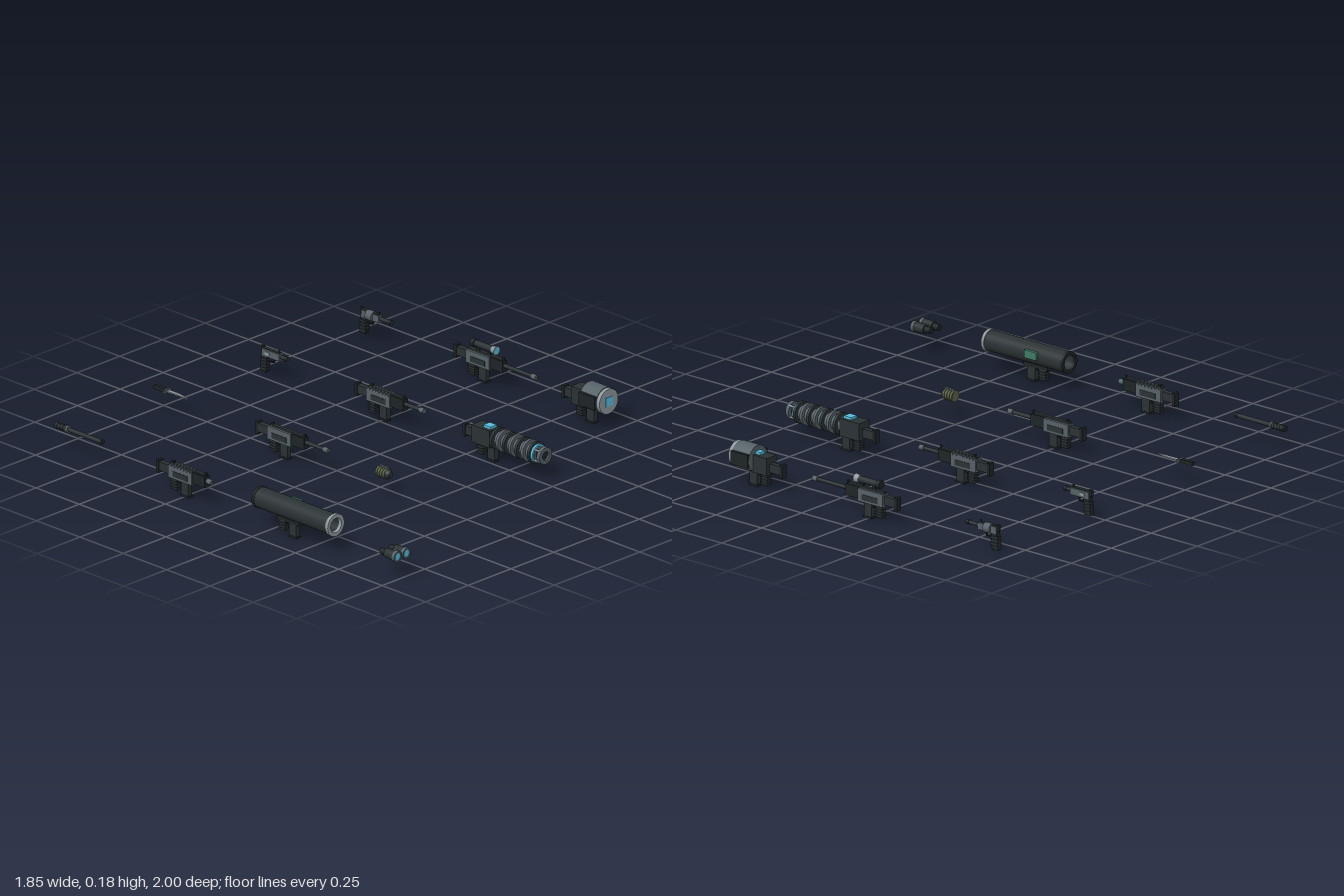
import * as THREE from 'three';

const mat = (color) => new THREE.MeshStandardMaterial({ color, side: THREE.DoubleSide });
const DARK = mat(0x2b3234), BLACK = mat(0x1e2426), STEEL = mat(0x566168),
  LIGHT = mat(0x8d989d), CYAN = mat(0x55bfe0), OLIVE = mat(0x5c6448), GREEN = mat(0x3f7a66);

function add(group, name, geometry, material) {
  const mesh = new THREE.Mesh(geometry, material);
  mesh.name = name;
  group.add(mesh);
  return mesh;
}
// Box given by centre x, width, and y / z ranges
function box(g, name, m, x, w, y0, y1, z0, z1) {
  const b = add(g, name, new THREE.BoxGeometry(w, y1 - y0, z1 - z0), m);
  b.position.set(x, (y0 + y1) / 2, (z0 + z1) / 2);
  return b;
}
// Cylinder lying along z, r0 at the back and r1 at the front
function rod(g, name, m, x, y, z0, z1, r0, r1 = r0, open = false, sides = 20) {
  const geo = new THREE.CylinderGeometry(r1, r0, z1 - z0, sides, 1, open).rotateX(Math.PI / 2);
  const c = add(g, name, geo, m);
  c.position.set(x, y, (z0 + z1) / 2);
  return c;
}
// Hollow sleeve along z
function sleeve(g, name, m, x, y, z0, z1, ro, ri) {
  const pts = [[ri, z0], [ro, z0], [ro, z1], [ri, z1], [ri, z0]].map(([r, z]) => new THREE.Vector2(r, z));
  const flat = new THREE.LatheGeometry(pts, 28).rotateX(Math.PI / 2).toNonIndexed();
  flat.computeVertexNormals();
  add(g, name, flat, m).position.set(x, y, 0);
}
function place(root, name, x, z) {
  const g = new THREE.Group();
  g.name = name;
  g.position.set(x, 0, z);
  root.add(g);
  return g;
}

// Ribbed rear grip and magazine
function gripAndMagazine(g) {
  box(g, 'grip', BLACK, 0, 0.022, 0.015, 0.07, 0.083, 0.115);
  for (let i = 0; i < 4; i++) box(g, 'gripRib', DARK, 0, 0.026, 0.02 + i * 0.012, 0.026 + i * 0.012, 0.081, 0.118);
  box(g, 'magazine', DARK, 0, 0.022, 0, 0.07, 0.14, 0.182);
  box(g, 'magazineBase', BLACK, 0, 0.026, 0, 0.008, 0.137, 0.185);
  box(g, 'triggerGuard', BLACK, 0, 0.008, 0.05, 0.054, 0.115, 0.14);
}
// Stock with butt plate
function stock(g) {
  box(g, 'stock', DARK, 0, 0.024, 0.077, 0.115, 0.008, 0.078);
  box(g, 'buttPlate', BLACK, 0, 0.028, 0.065, 0.122, 0, 0.014);
}
function rifle(root, name, x, { tip, scope = false, ribs = 0, guardWidth = 0.028 }) {
  const g = place(root, name, x, -0.408);
  stock(g);
  gripAndMagazine(g);
  box(g, 'receiver', STEEL, 0, 0.038, 0.066, 0.122, 0.072, 0.208);
  box(g, 'receiverPanel', DARK, 0, 0.042, 0.076, 0.1, 0.1, 0.185);
  box(g, 'topRail', DARK, 0, 0.016, 0.122, 0.13, 0.075, 0.27);
  for (let i = 0; i < ribs; i++) {
    const z = 0.085 + i * 0.018;
    box(g, 'railRib', STEEL, 0, 0.044, 0.118, 0.129, z, z + 0.008);
  }
  box(g, 'handguard', BLACK, 0, guardWidth, 0.074, 0.124, 0.205, 0.28);
  rod(g, 'barrel', DARK, 0, 0.103, 0.27, tip, 0.009, 0.008);
  rod(g, 'muzzle', STEEL, 0, 0.103, tip - 0.025, tip, 0.0115);
  box(g, 'frontSight', BLACK, 0, 0.006, 0.122, 0.138, 0.27, 0.279);
  if (scope) {
    for (const z of [0.125, 0.19]) box(g, 'scopeMount', BLACK, 0, 0.014, 0.126, 0.15, z, z + 0.014);
    rod(g, 'scopeTube', DARK, 0, 0.156, 0.1, 0.22, 0.014);
    rod(g, 'scopeBell', LIGHT, 0, 0.156, 0.212, 0.235, 0.015, 0.019);
    rod(g, 'scopeEyepiece', BLACK, 0, 0.156, 0.095, 0.115, 0.018);
    rod(g, 'scopeLens', CYAN, 0, 0.156, 0.234, 0.236, 0.015);
  } else {
    box(g, 'rearSight', BLACK, 0, 0.014, 0.128, 0.138, 0.085, 0.094);
  }
  return g;
}

// Sidearm with curved-back grip; the heavy one gets a revolving cylinder
function pistol(root, x, tip, heavy) {
  const g = place(root, heavy ? 'revolver' : 'pistol', x, 0);
  box(g, 'slide', STEEL, 0, heavy ? 0.022 : 0.026, 0.088, 0.118, -0.945, -0.845);
  box(g, 'slideTop', DARK, 0, 0.014, 0.116, 0.122, -0.945, -0.85);
  box(g, 'hammer', BLACK, 0, 0.012, 0.1, 0.128, -0.956, -0.942);
  const grip = box(g, 'grip', BLACK, 0, 0.022, 0.017, 0.095, -0.952, -0.92);
  grip.rotation.x = 0.1;
  for (let i = 0; i < 4; i++) box(g, 'gripRib', DARK, 0, 0.026, 0.028 + i * 0.014, 0.034 + i * 0.014, -0.954, -0.918);
  box(g, 'triggerGuard', BLACK, 0, 0.008, 0.066, 0.07, -0.92, -0.885);
  box(g, 'triggerGuardFront', BLACK, 0, 0.008, 0.066, 0.09, -0.889, -0.885);
  rod(g, 'barrel', DARK, 0, 0.104, -0.85, tip, 0.008);
  rod(g, 'muzzle', BLACK, 0, 0.104, tip - 0.015, tip, 0.0105);
  box(g, 'frontSight', BLACK, 0, 0.005, 0.118, 0.131, -0.858, -0.85);
  if (heavy) rod(g, 'cylinder', STEEL, 0, 0.103, -0.915, -0.88, 0.022, 0.022, false, 12);
  else box(g, 'sidePanel', LIGHT, 0, 0.033, 0.097, 0.11, -0.925, -0.9);
}

function baton(root, x) {
  const g = place(root, 'baton', x, 0);
  rod(g, 'handle', BLACK, 0, 0.1, -1, -0.925, 0.0125);
  for (let i = 0; i < 4; i++) rod(g, 'handleRing', DARK, 0, 0.1, -0.99 + i * 0.016, -0.983 + i * 0.016, 0.014);
  rod(g, 'collar', STEEL, 0, 0.1, -0.932, -0.922, 0.016);
  rod(g, 'shaft', DARK, 0, 0.1, -0.925, -0.74, 0.0095);
  rod(g, 'tip', BLACK, 0, 0.1, -0.742, -0.73, 0.011);
}

function knife(root, x) {
  const g = place(root, 'knife', x, 0);
  box(g, 'handle', BLACK, 0, 0.016, 0.092, 0.108, -1, -0.932);
  box(g, 'guard', STEEL, 0, 0.04, 0.092, 0.108, -0.935, -0.926);
  const s = new THREE.Shape();
  s.moveTo(-0.009, 0.928);
  s.lineTo(0.01, 0.928);
  s.lineTo(0.01, 0.875);
  s.quadraticCurveTo(0.008, 0.83, -0.006, 0.805);
  s.lineTo(-0.009, 0.928);
  const blade = new THREE.ExtrudeGeometry(s, { depth: 0.005, bevelEnabled: false });
  add(g, 'blade', blade.rotateX(-Math.PI / 2), LIGHT).position.y = 0.098;
}

// Shoulder launcher: open tube with a side sight
function launcher(root, x) {
  const g = place(root, 'launcher', x, 0.215);
  gripAndMagazine(g);
  sleeve(g, 'tube', DARK, 0, 0.121, -0.04, 0.388, 0.045, 0.034);
  sleeve(g, 'frontRing', LIGHT, 0, 0.121, 0.386, 0.401, 0.049, 0.032);
  sleeve(g, 'rearRing', BLACK, 0, 0.121, -0.041, -0.028, 0.047, 0.033);
  box(g, 'underRail', BLACK, 0, 0.026, 0.06, 0.08, 0.07, 0.2);
  box(g, 'sideSight', GREEN, 0.048, 0.014, 0.112, 0.146, 0.096, 0.16);
}

function grenade(root, x) {
  const g = place(root, 'grenade', x, 0);
  rod(g, 'core', OLIVE, 0, 0.1, 0.292, 0.345, 0.021);
  for (let i = 0; i < 4; i++) rod(g, 'rib', OLIVE, 0, 0.1, 0.293 + i * 0.014, 0.302 + i * 0.014, 0.0245);
  rod(g, 'nose', DARK, 0, 0.1, 0.345, 0.36, 0.022, 0.013);
  box(g, 'lever', STEEL, 0, 0.01, 0.122, 0.129, 0.295, 0.35);
}

// Heavy gun with a finned coil barrel
function coilGun(root, x) {
  const g = place(root, 'coilGun', x, 0.215);
  stock(g);
  gripAndMagazine(g);
  box(g, 'receiver', DARK, 0, 0.066, 0.066, 0.142, 0.07, 0.175);
  box(g, 'powerCell', CYAN, 0, 0.038, 0.135, 0.153, 0.125, 0.165);
  rod(g, 'barrelCore', STEEL, 0, 0.107, 0.17, 0.43, 0.033);
  for (let i = 0; i < 7; i++) {
    const z = 0.188 + i * 0.036;
    rod(g, 'coolingFin', i % 2 ? STEEL : DARK, 0, 0.107, z, z + 0.013, 0.048, 0.048, false, 28);
  }
  rod(g, 'glowRing', CYAN, 0, 0.107, 0.417, 0.428, 0.04, 0.04, false, 28);
  for (let i = 0; i < 4; i++) {
    const a = Math.PI / 4 + i * Math.PI / 2;
    rod(g, 'muzzleStrut', LIGHT, 0.034 * Math.cos(a), 0.107 + 0.034 * Math.sin(a), 0.42, 0.458, 0.005, 0.005, false, 8);
  }
  sleeve(g, 'muzzleRing', STEEL, 0, 0.107, 0.45, 0.467, 0.037, 0.019);
  rod(g, 'bore', BLACK, 0, 0.107, 0.42, 0.458, 0.02);
}

// Wide-mouthed emitter with a drum head
function drumGun(root, x) {
  const g = place(root, 'drumGun', x, 0.215);
  stock(g);
  gripAndMagazine(g);
  box(g, 'receiver', DARK, 0, 0.062, 0.066, 0.142, 0.07, 0.15);
  box(g, 'powerCell', CYAN, 0, 0.03, 0.132, 0.153, 0.12, 0.147);
  rod(g, 'drum', STEEL, 0, 0.118, 0.145, 0.24, 0.058, 0.058, false, 28);
  for (const s of [-1, 1]) box(g, 'sidePod', BLACK, s * 0.056, 0.014, 0.09, 0.147, 0.146, 0.238);
  rod(g, 'frontPlate', LIGHT, 0, 0.118, 0.238, 0.258, 0.055, 0.055, false, 28);
  box(g, 'emitter', CYAN, 0, 0.04, 0.098, 0.138, 0.25, 0.261);
}

function binoculars(root, x) {
  const g = place(root, 'binoculars', x, 0);
  for (const s of [-1, 1]) {
    const bx = s * 0.026;
    rod(g, 'eyepiece', BLACK, bx, 0.1, 0.905, 0.94, 0.014);
    rod(g, 'barrel', DARK, bx, 0.1, 0.935, 0.99, 0.02, 0.022);
    sleeve(g, 'rim', STEEL, bx, 0.1, 0.985, 1, 0.0235, 0.017);
    rod(g, 'lens', CYAN, bx, 0.1, 0.988, 0.996, 0.018);
  }
  box(g, 'bridge', STEEL, 0, 0.02, 0.092, 0.11, 0.942, 0.972);
}

export function createModel() {
  const root = new THREE.Group();
  root.name = 'equipmentSet';
  const [a, b, c, d] = [-0.88, -0.3, 0.28, 0.86];
  baton(root, a);
  knife(root, b);
  pistol(root, c, -0.805, false);
  pistol(root, d, -0.778, true);
  rifle(root, 'compactRifle', a, { tip: 0.31, ribs: 7 });
  rifle(root, 'longRifle', b, { tip: 0.41 });
  rifle(root, 'ribbedRifle', c, { tip: 0.39, ribs: 7 });
  rifle(root, 'scopedRifle', d, { tip: 0.465, scope: true, guardWidth: 0.026 });
  launcher(root, a);
  grenade(root, b);
  coilGun(root, c);
  drumGun(root, d);
  binoculars(root, a);
  return root;
}
